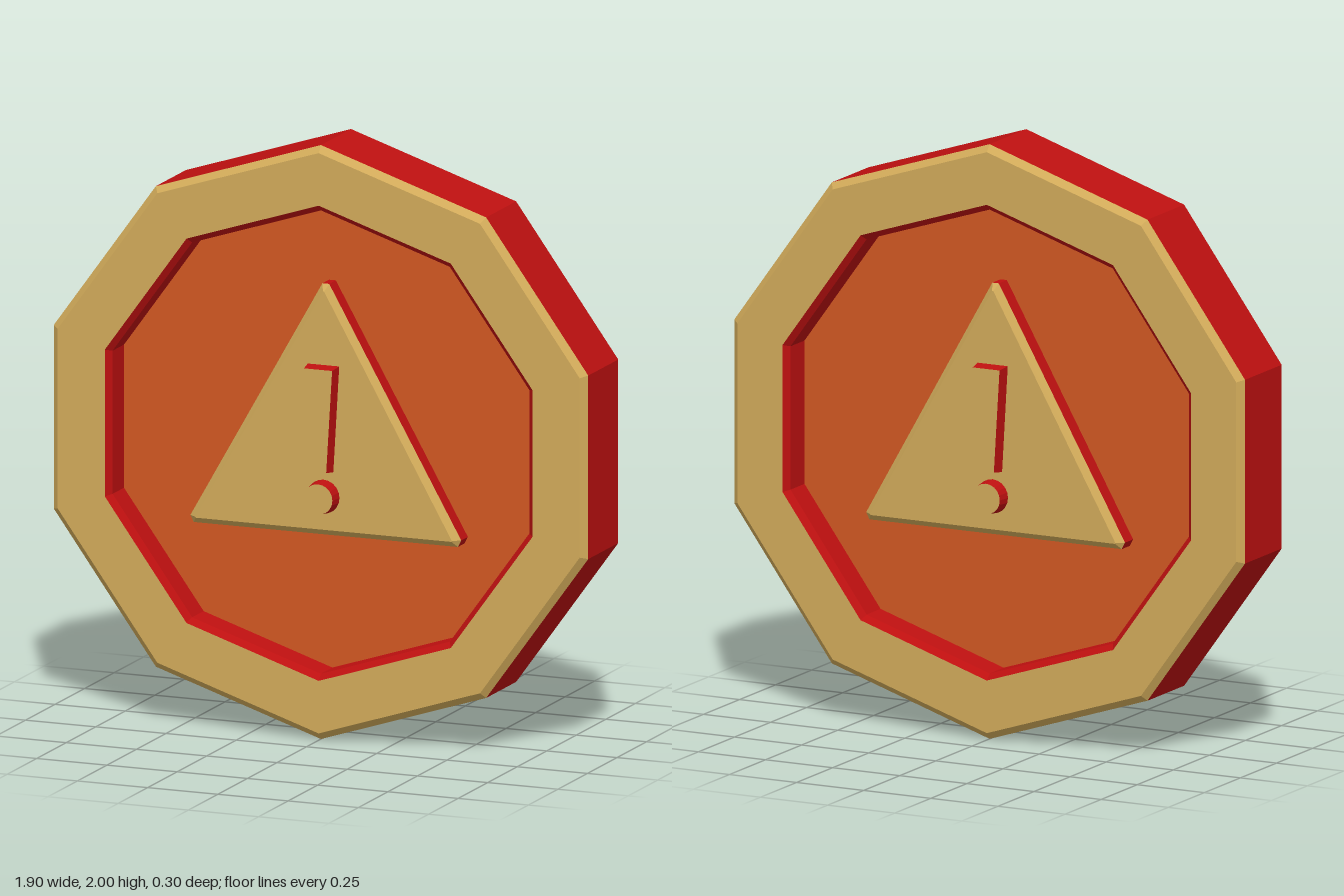
import * as THREE from 'three';

const gold = new THREE.MeshStandardMaterial({ name: 'gold', color: 0xd2ab5a });
const red = new THREE.MeshStandardMaterial({ name: 'red', color: 0xbe1010 });
const orange = new THREE.MeshStandardMaterial({ name: 'orange', color: 0xd25822 });

// Loops run counter-clockwise seen from the front
const polygon = (r, n, cy) => Array.from({ length: n }, (_, i) => {
  const a = Math.PI / 2 + (i / n) * Math.PI * 2;
  return [r * Math.cos(a), cy + r * Math.sin(a)];
});
const coin = (r) => polygon(r, 10, 1);

// Flat-shaded strip of quads joining two loops of equal length
function band(name, material, a, za, b, zb) {
  const p = [];
  a.forEach((a0, i) => {
    const j = (i + 1) % a.length;
    const A = [...a0, za], B = [...a[j], za], C = [...b[j], zb], D = [...b[i], zb];
    p.push(...A, ...B, ...C, ...A, ...C, ...D);
  });
  const g = new THREE.BufferGeometry();
  g.setAttribute('position', new THREE.Float32BufferAttribute(p, 3));
  g.computeVertexNormals();
  return named(name, g, material);
}

// Flat face filling a loop
function cap(name, material, loop, z) {
  const shape = new THREE.Shape(loop.map(([x, y]) => new THREE.Vector2(x, y)));
  return named(name, new THREE.ShapeGeometry(shape).translate(0, 0, z), material);
}

function named(name, geometry, material) {
  const m = new THREE.Mesh(geometry, material);
  m.name = name;
  return m;
}

// Depths of the stepped faces
const EDGE = 0.127, RIM = 0.147, FLOOR = 0.03, SIGN = 0.106, MARK = 0.152;

function createFace() {
  const face = new THREE.Group();

  // Bevelled rim and the recess inside it
  face.add(
    band('rimBevel', gold, coin(1), EDGE, coin(0.977), RIM),
    band('rim', gold, coin(0.977), RIM, coin(0.8), RIM),
    band('recessBevel', red, coin(0.8), RIM, coin(0.78), EDGE),
    band('recessWall', red, coin(0.78), EDGE, coin(0.78), FLOOR),
    cap('recessFloor', orange, coin(0.78), FLOOR),
  );

  // Triangle with clipped corners
  const outer = [[0.012, 1.525], [-0.012, 1.525], [-0.482, 0.703], [-0.47, 0.68], [0.47, 0.68], [0.482, 0.703]];
  const inner = [[0.002, 1.502], [-0.002, 1.502], [-0.457, 0.703], [-0.455, 0.7], [0.455, 0.7], [0.457, 0.703]];
  face.add(
    band('triangleSide', red, outer, FLOOR, outer, SIGN - 0.02),
    band('triangleBevel', gold, outer, SIGN - 0.02, inner, SIGN),
    cap('triangleFace', gold, inner, SIGN),
  );

  // Raised bar and dot
  const bar = (d) => [[0.056 - d, 1.255 - d], [d - 0.056, 1.255 - d], [d - 0.035, 0.897 + d], [0.035 - d, 0.897 + d]];
  const dot = (d) => polygon(0.057 - d, 20, 0.812);
  for (const [name, loop] of [['bar', bar], ['dot', dot]]) {
    face.add(
      band(name + 'Side', red, loop(0), SIGN, loop(0.006), MARK),
      cap(name + 'Face', gold, loop(0.006), MARK),
    );
  }
  return face;
}

export function createModel() {
  const model = new THREE.Group();
  model.name = 'warningCoin';
  model.add(band('coinEdge', red, coin(1), -EDGE, coin(1), EDGE));

  // The same relief on both sides
  ['frontFace', 'backFace'].forEach((name, i) => {
    const face = createFace();
    face.name = name;
    face.rotation.y = i * Math.PI;
    model.add(face);
  });
  return model;
}
